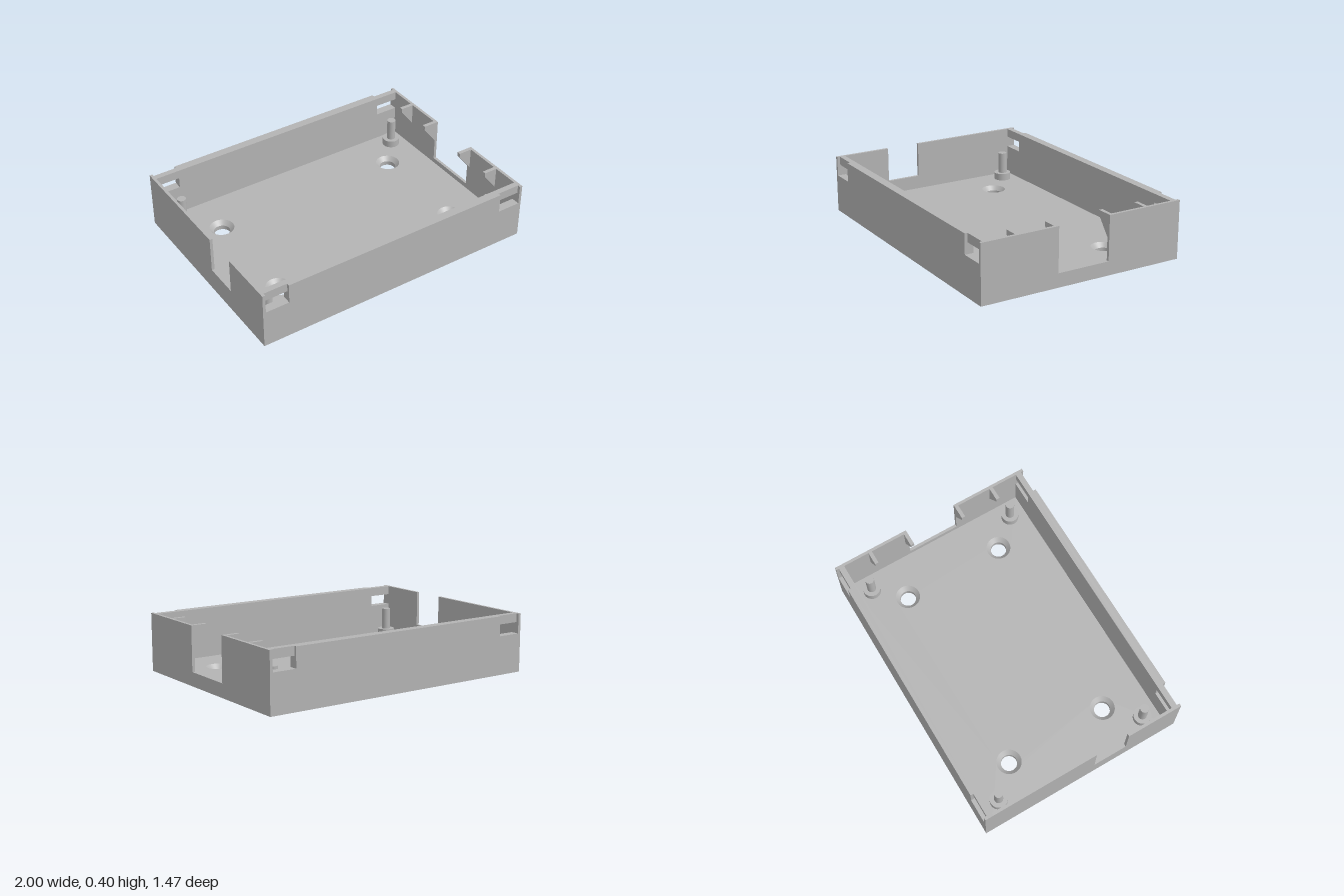
import * as THREE from 'three';

const H = 0.4, HX = 1, HZ = 0.733;      // overall height and half sizes
const IX = 0.98, IZ = 0.673;            // inner half sizes
const FLOOR = 0.06;

const shapeOf = (pts) => new THREE.Shape(pts.map(([x, y]) => new THREE.Vector2(x, y)));
const extrude = (shape, depth) =>
  new THREE.ExtrudeGeometry(shape, { depth, bevelEnabled: false, curveSegments: 24 });

export function createModel() {
  const model = new THREE.Group();
  model.name = 'enclosureBase';
  const grey = new THREE.MeshStandardMaterial({ color: 0xb3b3b3 });
  grey.name = 'plasticGrey';

  const add = (name, geometry, x = 0, y = 0, z = 0) => {
    const mesh = new THREE.Mesh(geometry, grey);
    mesh.name = name;
    mesh.position.set(x, y, z);
    model.add(mesh);
    return mesh;
  };

  // Floor in two layers: narrow screw holes below, wide countersinks above
  const holes = [];
  for (const x of [-0.675, 0.7]) for (const z of [-0.366, 0.366]) holes.push([x, z]);
  const floorLayer = (name, radius, top) => {
    const shape = shapeOf([[-IX, -IZ], [IX, -IZ], [IX, IZ], [-IX, IZ]]);
    for (const [x, z] of holes) {
      const hole = new THREE.Path();
      hole.absarc(x, z, radius, 0, Math.PI * 2, true);
      shape.holes.push(hole);
    }
    add(name, extrude(shape, FLOOR / 2), 0, top, 0).rotation.x = Math.PI / 2;
  };
  floorLayer('floorBottom', 0.055, FLOOR / 2);
  floorLayer('floorTop', 0.084, FLOOR);
  for (const [x, z] of holes) {
    const cone = [new THREE.Vector2(0.084, FLOOR), new THREE.Vector2(0.055, FLOOR / 2)];
    add('countersink', new THREE.LatheGeometry(cone, 48), x, 0, z);
  }

  // Long walls: outer skin with open pockets, inner skin with windows behind them
  const [wx0, wx1, wy0, wy1] = [0.815, IX, 0.265, 0.34];
  const outerSkin = shapeOf([
    [-HX, 0], [HX, 0], [HX, H], [wx1, H], [wx1, wy0], [wx0, wy0], [wx0, H],
    [-wx0, H], [-wx0, wy0], [-wx1, wy0], [-wx1, H], [-HX, H],
  ]);
  const innerSkin = shapeOf([[-HX, 0], [HX, 0], [HX, H], [-HX, H]]);
  for (const s of [-1, 1]) {
    const [a, b] = [s * wx0, s * wx1];
    innerSkin.holes.push(shapeOf([[a, wy0], [a, wy1], [b, wy1], [b, wy0]]));
  }
  add('frontWallOuter', extrude(outerSkin, 0.02), 0, 0, HZ - 0.02);
  add('frontWallInner', extrude(innerSkin, 0.04), 0, 0, IZ);
  add('backWallOuter', extrude(outerSkin, 0.02), 0, 0, -HZ);
  add('backWallInner', extrude(innerSkin, 0.04), 0, 0, -HZ + 0.02);

  // End walls, each with an open-topped cable notch
  const endWall = (name, x, z0, z1, y) => {
    const shape = shapeOf([[-IZ, 0], [IZ, 0], [IZ, H], [z1, H], [z1, y], [z0, y], [z0, H], [-IZ, H]]);
    add(name, extrude(shape, HX - IX), x, 0, 0).rotation.y = -Math.PI / 2;
  };
  endWall('leftEndWall', HX, -0.187, 0.187, 0.095);
  endWall('rightEndWall', -IX, 0.092, 0.335, 0.155);

  // Support brackets inside the left end wall
  const bracket = shapeOf([[IX, 0.25], [IX, H], [0.885, H], [0.885, 0.37]]);
  for (const z of [-0.474, -0.2, 0.2, 0.474])
    add('supportBracket', extrude(bracket, 0.026), 0, 0, z - 0.013);

  // Corner posts: a short boss with a locating pin
  for (const x of [-0.865, 0.865]) for (const z of [-0.558, 0.558]) {
    add('postBoss', new THREE.CylinderGeometry(0.06, 0.06, 0.05, 40), x, FLOOR + 0.025, z);
    add('postPin', new THREE.CylinderGeometry(0.03, 0.03, 0.15, 32), x, 0.185, z);
  }
  return model;
}
